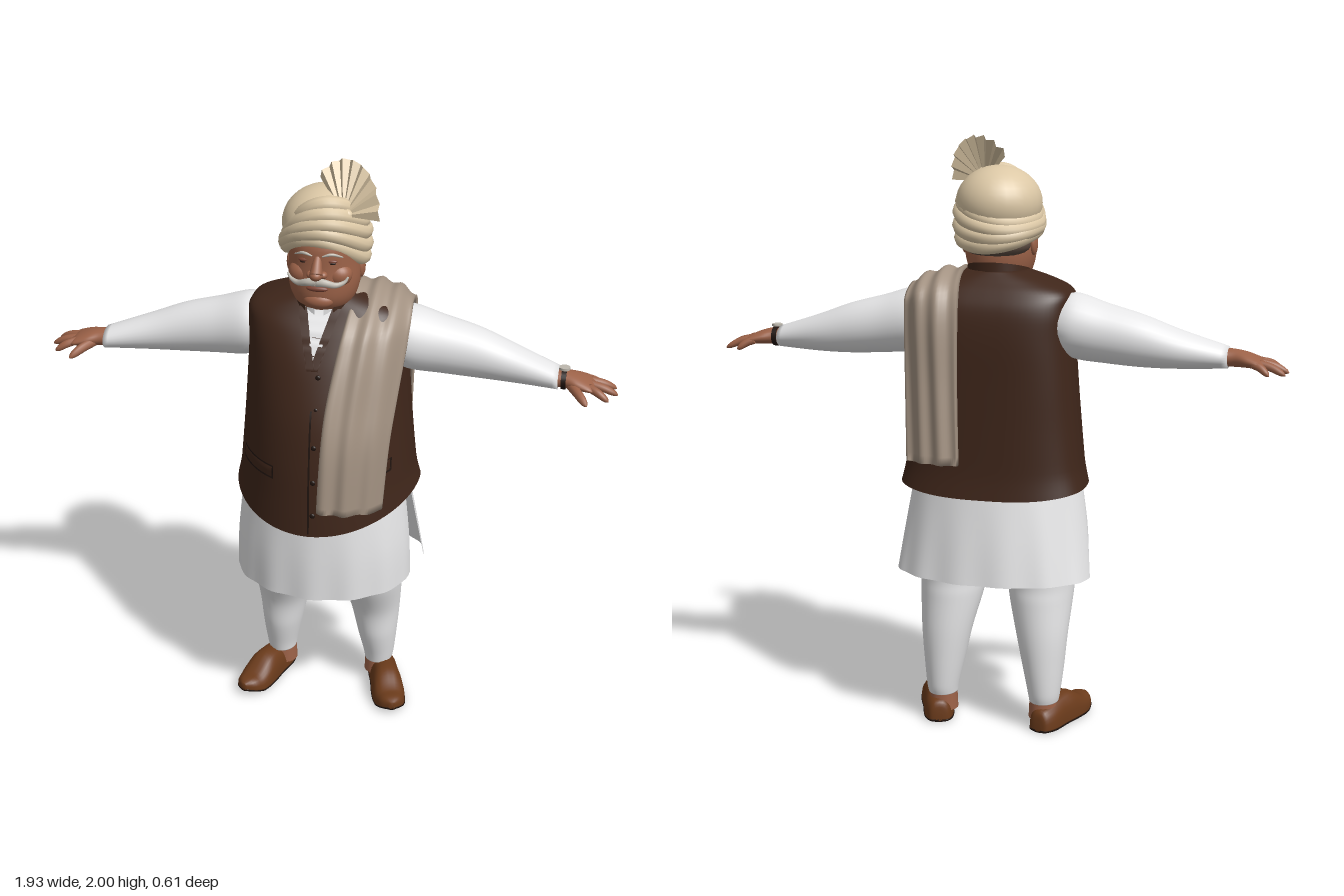
import * as THREE from 'three';

const mat = (name, color, side = THREE.FrontSide) => {
  const m = new THREE.MeshStandardMaterial({ color, side });
  m.name = name;
  return m;
};
const V = (x, y, z) => new THREE.Vector3(x, y, z);
const sp = (v, p) => Math.sign(v) * Math.abs(v) ** p;

// Catmull-Rom smoothing of rows of numbers
function spline(rows, per = 5) {
  const out = [], at = i => rows[Math.min(rows.length - 1, Math.max(0, i))];
  for (let i = 0; i < rows.length - 1; i++) {
    for (let k = 0; k < per; k++) {
      const t = k / per;
      out.push(at(i).map((b, c) => {
        const a = at(i - 1)[c], d = at(i + 1)[c], e = at(i + 2)[c];
        return 0.5 * (2 * b + (d - a) * t + (2 * a - 5 * b + 4 * d - e) * t * t + (3 * b - a - 3 * d + e) * t ** 3);
      }));
    }
  }
  out.push(rows[rows.length - 1]);
  return out;
}

// Skin a list of cross-sections
function loft(rings, { closed = true, cap0 = true, cap1 = true } = {}) {
  const n = rings[0].length, m = rings.length, pts = rings.flat(), idx = [];
  for (let i = 0; i < m - 1; i++) for (let j = 0; j < (closed ? n : n - 1); j++) {
    const a = i * n + j, b = i * n + (j + 1) % n;
    idx.push(a, a + n, b, b, a + n, b + n);
  }
  const cap = (r, flip) => {
    const c = pts.length;
    pts.push(rings[r].reduce((s, p) => s.add(p), V(0, 0, 0)).divideScalar(n));
    for (let j = 0; j < n; j++) {
      const a = r * n + j, b = r * n + (j + 1) % n;
      idx.push(c, flip ? b : a, flip ? a : b);
    }
  };
  if (closed && cap0) cap(0, false);
  if (closed && cap1) cap(m - 1, true);
  const g = new THREE.BufferGeometry().setFromPoints(pts);
  g.setIndex(idx);
  g.computeVertexNormals();
  return g;
}
const ring = (n, f) => Array.from({ length: n }, (_, j) => f(j / n * Math.PI * 2));

// Round strand along points with a radius rule
function sweep(points, radius, steps = 12, sides = 10) {
  const c = new THREE.CatmullRomCurve3(points.map(p => V(...p))), f = c.computeFrenetFrames(steps);
  return loft(Array.from({ length: steps + 1 }, (_, i) => ring(sides, a => c.getPoint(i / steps)
    .addScaledVector(f.normals[i], Math.cos(a) * radius(i / steps))
    .addScaledVector(f.binormals[i], -Math.sin(a) * radius(i / steps)))));
}
function ball(x, y, z, rx, ry, rz) {
  return new THREE.SphereGeometry(1, 28, 20).scale(rx, ry, rz).translate(x, y, z);
}
function mirrored(g) {
  const m = g.clone().scale(-1, 1, 1), a = m.index.array;
  for (let i = 0; i < a.length; i += 3) [a[i], a[i + 1]] = [a[i + 1], a[i]];
  m.computeVertexNormals();
  return m;
}

// Waistcoat cross-sections: y, half width, front z, back z, side z, front and back squareness
const vestRows = spline([
  [0.8, 0.315, 0.288, -0.262, -0.09, 1, 0.75], [0.9, 0.302, 0.284, -0.253, -0.085, 1, 0.75], [1.05, 0.287, 0.274, -0.248, -0.08, 1, 0.75],
  [1.2, 0.275, 0.248, -0.245, -0.075, 1, 0.72], [1.35, 0.264, 0.192, -0.242, -0.07, 0.9, 0.7], [1.45, 0.262, 0.135, -0.228, -0.07, 0.75, 0.65],
  [1.505, 0.255, 0.09, -0.2, -0.07, 0.65, 0.65], [1.54, 0.19, 0.065, -0.17, -0.06, 0.7, 0.75], [1.57, 0.1, 0.04, -0.14, -0.05, 0.9, 0.9]]);
const vestFront = (x, y) => {
  const [, r, f, , mid, p] = vestRows.find(q => q[0] >= y) || vestRows[vestRows.length - 1];
  const c = Math.min(1, (Math.abs(x) / r) ** (1 / p));
  return mid + (f - mid) * Math.sqrt(1 - c * c) ** p;
};
// Thin patch lying on the waistcoat front
function patch(y0, y1, left, right, lift, rows = 16) {
  return loft(Array.from({ length: rows + 1 }, (_, i) => {
    const t = i / rows, y = y0 + (y1 - y0) * t;
    return Array.from({ length: 9 }, (_, j) => {
      const x = right(t) + (left(t) - right(t)) * j / 8;
      return V(x, y, vestFront(x, y) + lift);
    });
  }), { closed: false });
}

export function createModel() {
  const root = new THREE.Group();
  const skin = mat('skin', 0x9c6248), lip = mat('lip', 0x7d4535), white = mat('white cotton', 0xe9e9ea, THREE.DoubleSide);
  const brown = mat('waistcoat brown', 0x3f261a, THREE.DoubleSide), trim = mat('dark trim', 0x20140f, THREE.DoubleSide);
  const taupe = mat('scarf taupe', 0xa39282), cream = mat('turban cream', 0xdcc8a6, THREE.DoubleSide);
  const leather = mat('leather', 0x6b3b1b), grey = mat('moustache grey', 0xbdb8ae), hair = mat('hair', 0x5a4a40);
  const add = (name, g, m) => {
    const mesh = new THREE.Mesh(g, m);
    mesh.name = name;
    root.add(mesh);
  };
  const pair = (name, g, m) => { add(name + 'Left', g, m); add(name + 'Right', mirrored(g), m); };

  // Waistcoat, hem higher at the sides
  add('waistcoat', loft(vestRows.map(([y, rx, f, b, mid, pf, pb]) => ring(64, a => {
    const c = Math.cos(a), s = Math.sin(a), k = Math.max(0, (0.92 - y) / 0.12), p = s > 0 ? pf : pb;
    return V(rx * sp(c, p), y + k * (0.055 * c * c + (s < 0 ? 0.03 * s * s : 0)), mid + Math.abs((s > 0 ? f : b) - mid) * sp(s, p));
  })), { cap0: false }), brown);
  add('placket', patch(0.81, 1.37, () => 0.003, () => 0.009, 0.003), trim);
  add('shirtFront', patch(1.37, 1.535, t => -0.002 - 0.04 * t, t => 0.012 + 0.035 * t, 0.008), white);
  for (const s of [-1, 1]) add('lapel', patch(1.36, 1.535, t => s * (0.004 + 0.052 * t) - 0.014, t => s * (0.004 + 0.052 * t) + 0.014, 0.013), brown);
  for (const y of [0.88, 1.0, 1.12, 1.24, 1.34]) add('button', ball(0.02, y, vestFront(0.02, y) + 0.003, 0.009, 0.009, 0.005), trim);
  for (const s of [-1, 1]) {
    const a = s * 0.185 - 0.065, b = s * 0.185 + 0.065;
    add('pocketSeam', patch(0.985, 1.03, () => a, () => b, 0.004, 4), trim);
    add('pocketFlap', patch(0.992, 1.027, () => a + 0.004, () => b - 0.004, 0.008, 4), brown);
  }
  // Standing collars, open at the front
  const collar = (rx, h, y, gap) => loft([0, 0.5, 1].map(t => Array.from({ length: 33 }, (_, j) => {
    const a = Math.PI / 2 + gap + j / 32 * (Math.PI - gap) * 2, s = Math.sin(a);
    return V((rx - 0.008 * t) * Math.cos(a), y - 0.03 * s + h * t, -0.022 + (rx + 0.008) * s);
  })), { closed: false });
  add('waistcoatCollar', collar(0.112, 0.055, 1.515, 0.45), brown);
  add('shirtCollar', collar(0.103, 0.05, 1.515, 0.15), white);

  // Long shirt: front and back panels split at the sides (y, half width, edge z, outer z)
  const panel = rows => loft(spline(rows).map(([y, rx, z0, z1]) => Array.from({ length: 49 }, (_, j) => {
    const a = j / 48 * Math.PI, fold = 0.004 * Math.sin(a * 13) * Math.max(0, (0.85 - y) / 0.3);
    return V(rx * Math.cos(a), y, z0 + (z1 - z0) * Math.sin(a) + fold);
  })), { closed: false });
  add('shirtFrontPanel', panel([[0.53, 0.305, 0, 0.25], [0.7, 0.297, 0, 0.25], [0.95, 0.265, -0.02, 0.24]]), white);
  add('shirtBackPanel', panel([[0.545, 0.335, -0.1, -0.295], [0.7, 0.315, -0.06, -0.275], [0.95, 0.275, -0.02, -0.235]]), white);

  // Trousers: y, centre x, half width, centre z, half depth
  pair('trouserLeg', loft(spline([
    [0.095, 0.18, 0.05, -0.105, 0.06], [0.13, 0.18, 0.056, -0.105, 0.068], [0.22, 0.175, 0.071, -0.097, 0.083],
    [0.33, 0.168, 0.088, -0.09, 0.092], [0.45, 0.158, 0.108, -0.06, 0.115], [0.53, 0.155, 0.117, -0.045, 0.125],
    [0.7, 0.145, 0.14, -0.02, 0.17], [0.9, 0.12, 0.135, 0, 0.18]], 8).map(([y, x, rx, z, rz]) =>
    ring(28, a => V(x + rx * Math.cos(a), y, z + rz * Math.sin(a))))), white);
  pair('ankle', new THREE.CylinderGeometry(0.046, 0.05, 0.09, 20).translate(0.178, 0.08, -0.108), skin);

  // Shoes and soles: z, half width, height
  const shoe = (rows, grow) => loft(spline(rows).map(([z, w, h]) => ring(24, a => {
    const c = Math.cos(a), lift = Math.max(0, z - 0.1) * 0.35;
    return V((w + grow) * sp(Math.sin(a), 0.8), lift + (c > 0 ? 0.012 + (h - 0.012) * sp(c, 0.8) : 0.012 + 0.008 * sp(c, 0.5)), z);
  }))).rotateY(0.32).translate(0.224, 0, -0.025);
  const shoeRows = [[-0.158, 0.012, 0.03], [-0.15, 0.035, 0.07], [-0.11, 0.05, 0.085], [-0.04, 0.052, 0.1],
    [0.02, 0.057, 0.1], [0.08, 0.057, 0.07], [0.13, 0.042, 0.05], [0.158, 0.01, 0.03]];
  pair('shoe', shoe(shoeRows, 0), leather);
  pair('sole', shoe(shoeRows.map(([z, w]) => [z, w, 0.014]), 0.002).translate(0, -0.004, 0), trim);

  // Sleeves and hands: x, centre y, half height, centre z, half depth
  const limb = rows => loft(spline(rows, 6).map(([x, y, ry, z, rz]) =>
    ring(28, a => V(x, y + ry * Math.sin(a), z + rz * Math.cos(a)))));
  pair('sleeve', limb([[0.22, 1.4, 0.085, -0.075, 0.1], [0.275, 1.395, 0.108, -0.077, 0.11], [0.38, 1.375, 0.098, -0.082, 0.095],
    [0.5, 1.355, 0.085, -0.083, 0.083], [0.62, 1.332, 0.063, -0.073, 0.072], [0.77, 1.308, 0.036, -0.045, 0.055]]), white);
  pair('palm', limb([[0.75, 1.308, 0.029, -0.042, 0.038], [0.79, 1.307, 0.029, -0.042, 0.038], [0.83, 1.303, 0.025, -0.043, 0.053],
    [0.87, 1.295, 0.018, -0.045, 0.06], [0.888, 1.289, 0.011, -0.045, 0.054]]), skin);
  const fingers = [[0.855, -0.088, 0.908, -0.115], [0.87, -0.07, 0.958, -0.09], [0.87, -0.043, 0.965, -0.04], [0.87, -0.013, 0.938, 0.018], [0.81, -0.02, 0.872, 0.066]];
  fingers.forEach(([x0, z0, x1, z1], i) => pair('finger', sweep([[x0, 1.296, z0],
    [(x0 + x1) / 2, 1.286, (z0 + z1) / 2 + 0.003], [x1, 1.265, z1]],
  t => (i === 4 ? 0.016 : 0.0135) * Math.sqrt(1.02 - t ** 4)), skin));
  // Wristwatch
  add('watchStrap', new THREE.CylinderGeometry(0.041, 0.041, 0.016, 24).rotateZ(Math.PI / 2).scale(1, 0.85, 1).translate(0.788, 1.307, -0.042), trim);
  add('watchFace', new THREE.CylinderGeometry(0.018, 0.018, 0.008, 20).translate(0.788, 1.344, -0.042), grey);

  // Scarf over the shoulder: inner edge, outer edge, outward y and z, bulge
  add('scarf', loft(spline([
    [0.035, 0.9, 0.295, 0.235, 0.88, 0.195, 0, 1, 0.034], [0.045, 1.1, 0.285, 0.25, 1.1, 0.17, 0, 1, 0.036],
    [0.055, 1.25, 0.248, 0.265, 1.25, 0.12, 0, 1, 0.036], [0.075, 1.4, 0.175, 0.28, 1.4, 0.05, 0.2, 0.95, 0.045],
    [0.09, 1.49, 0.11, 0.285, 1.475, 0, 0.5, 0.85, 0.03], [0.1, 1.568, -0.04, 0.28, 1.52, -0.08, 1, 0, 0.016],
    [0.095, 1.545, -0.165, 0.275, 1.49, -0.185, 0.6, -0.8, 0.025], [0.085, 1.45, -0.24, 0.275, 1.42, -0.2, 0, -1, 0.035],
    [0.08, 1.2, -0.268, 0.265, 1.2, -0.225, 0, -1, 0.025], [0.07, 0.95, -0.29, 0.255, 0.95, -0.25, 0, -1, 0.02]], 6)
    .map(([ax, ay, az, bx, by, bz, ny, nz, bulge], i) => {
      const at = (u, d) => {
        const o = bulge * (1 - (2 * u - 1) ** 2) + d * (0.007 * Math.sin(u * 17 + i * 0.05) + 0.004);
        return V(ax + (bx - ax) * u, ay + (by - ay) * u + ny * o, az + (bz - az) * u + nz * o)
          .add(V(0, ny, nz).multiplyScalar(d ? 0 : -0.014));
      };
      const us = Array.from({ length: 29 }, (_, j) => j / 28);
      return [...us.map(u => at(1 - u, 1)), ...us.map(u => at(u, 0))];
    })), taupe);

  // Head and neck
  add('neck', new THREE.CylinderGeometry(0.09, 0.098, 0.16, 28).translate(0, 1.5, -0.022), skin);
  add('head', loft(spline([[1.515, 0.055, 0.05, -0.08], [1.535, 0.086, 0.09, -0.1], [1.57, 0.106, 0.112, -0.115], [1.62, 0.117, 0.116, -0.122],
    [1.68, 0.115, 0.113, -0.12], [1.75, 0.11, 0.108, -0.12], [1.81, 0.08, 0.07, -0.09]]).map(([y, rx, f, b]) =>
    ring(36, a => V(rx * Math.cos(a), y, (f + b) / 2 + (f - b) / 2 * sp(Math.sin(a), 0.9))))), skin);
  add('nose', sweep([[0, 1.72, 0.1], [0, 1.695, 0.117], [0, 1.668, 0.131]], t => 0.012 + 0.01 * t), skin);
  add('noseTip', ball(0, 1.667, 0.132, 0.021, 0.017, 0.023), skin);
  add('chin', ball(0, 1.568, 0.092, 0.05, 0.028, 0.03), skin);
  add('lips', ball(0, 1.615, 0.113, 0.036, 0.01, 0.012), lip);
  pair('nostril', ball(0.02, 1.664, 0.117, 0.014, 0.012, 0.015), skin);
  pair('cheek', ball(0.058, 1.652, 0.066, 0.046, 0.04, 0.04), skin);
  pair('ear', ball(0.116, 1.65, -0.022, 0.014, 0.037, 0.024), skin);
  pair('eye', ball(0.043, 1.699, 0.1, 0.016, 0.004, 0.006), trim);
  pair('eyelid', ball(0.043, 1.706, 0.099, 0.02, 0.007, 0.009), lip);
  pair('eyebrow', sweep([[0.016, 1.724, 0.112], [0.045, 1.731, 0.107], [0.078, 1.718, 0.087]], t => 0.002 + 0.003 * Math.sin(t * Math.PI)), grey);
  pair('moustache', sweep([[0, 1.644, 0.128], [0.03, 1.642, 0.13], [0.062, 1.633, 0.117], [0.088, 1.642, 0.105], [0.098, 1.658, 0.1]],
    t => 0.0125 * (1 - t) + 0.003, 18), grey);
  add('hair', ball(0, 1.65, -0.055, 0.113, 0.05, 0.088), hair);

  // Turban: dome, overlapping wraps rising to the front, and pleated fan
  add('turbanDome', ball(-0.005, 1.785, -0.045, 0.142, 0.122, 0.15), cream);
  [0.122, 0.128, 0.127, 0.118, 0.1].forEach((r, i) => {
    const pts = ring(32, a => {
      const s = Math.sin(a), c = Math.cos(a), tilt = [-0.01, 0.005, 0.022, 0.03, 0.035][i];
      return V(-0.005 + r * c, 1.687 + 0.027 * i + (s > 0 ? 0.082 : -0.03) * Math.abs(s) ** 1.5 + tilt * c, -0.042 + (r + 0.007) * s);
    });
    add('turbanWrap', new THREE.TubeGeometry(new THREE.CatmullRomCurve3(pts, true), 72, 0.0265, 10, true), cream);
  });
  const fan = loft([0.015, 0.155].map(r => Array.from({ length: 17 }, (_, j) => {
    const a = (2 + j * 8.8) * Math.PI / 180, k = (j % 2 ? 1 : -1) * 0.06 * r, c = r * Math.cos(a), s = r * Math.sin(a);
    return V(0.07 + 0.78 * c - 0.3 * k, 1.843 + s + 0.5 * k, 0.052 + 0.25 * c - 0.6 * s + 0.8 * k);
  })), { closed: false }).toNonIndexed();
  fan.computeVertexNormals();
  add('turbanFan', fan, cream);
  add('fanKnot', ball(0.075, 1.845, 0.05, 0.028, 0.022, 0.02), cream);
  return root;
}
